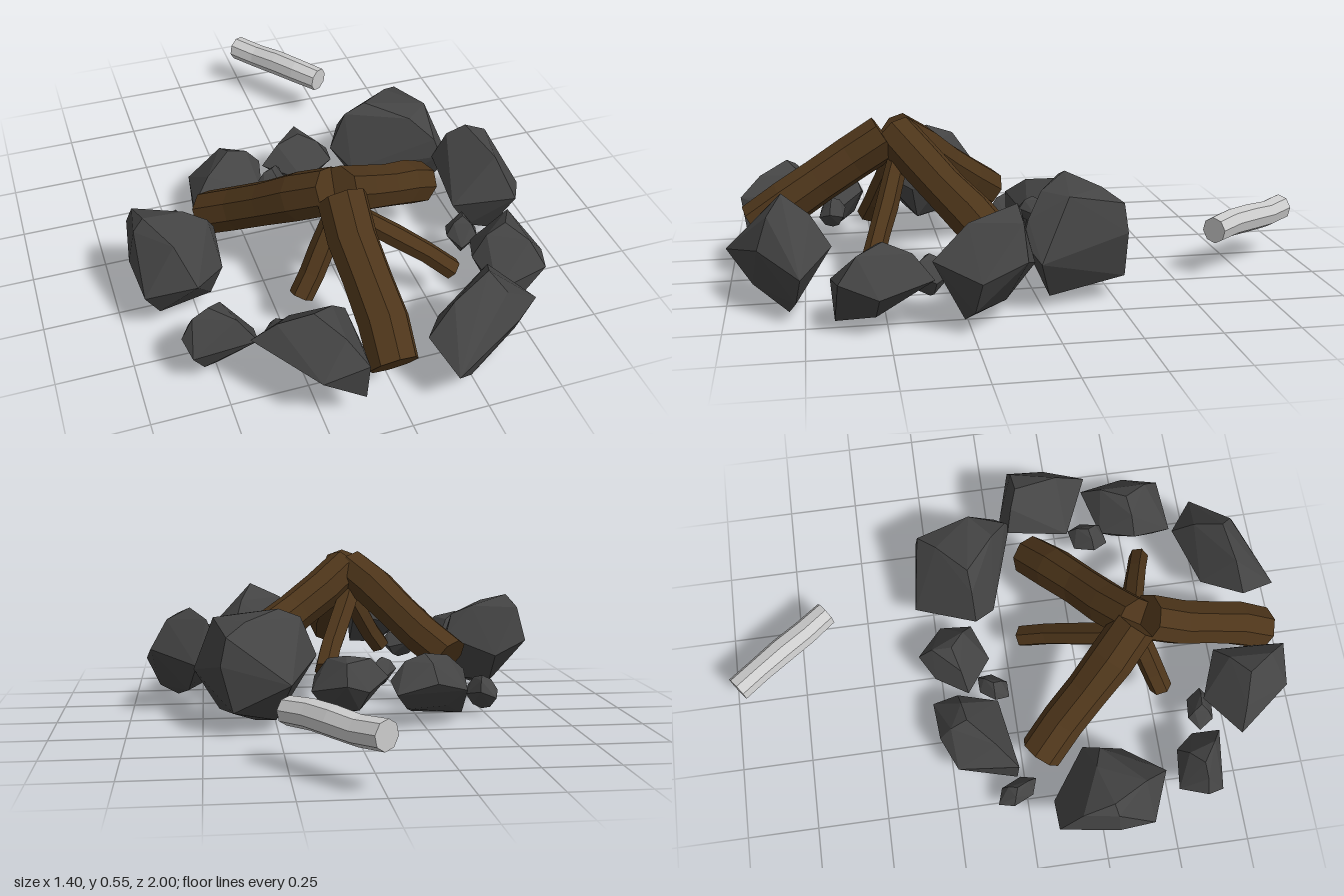
import * as THREE from 'three';
import { ConvexGeometry } from 'three/addons/geometries/ConvexGeometry.js';

const stone = new THREE.MeshStandardMaterial({ color: 0x444444, flatShading: true });
const wood = new THREE.MeshStandardMaterial({ color: 0x4d351a, flatShading: true });
const plain = new THREE.MeshStandardMaterial({ color: 0xcccccc, flatShading: true });

// Faceted rock: a zigzag girdle following the footprint [x, z], closing
// towards a top and a bottom point. Fullness swells the shoulders, and
// corners [x, y, z] add single protruding points.
function rock(name, footprint, top, bottom, fullness = 0.72, corners = []) {
  const up = new THREE.Vector3(...top);
  const down = new THREE.Vector3(...bottom);
  const points = [up, down, ...corners.map((c) => new THREE.Vector3(...c))];
  footprint.forEach(([x, z], i) => {
    const y = THREE.MathUtils.lerp(down.y, up.y, i % 2 ? 0.42 : 0.58);
    const girdle = new THREE.Vector3(x, y, z);
    const pole = i % 2 ? down : up;
    const shoulder = girdle.clone().lerp(pole, 0.42);
    shoulder.y = THREE.MathUtils.lerp(y, pole.y, fullness);
    points.push(girdle, shoulder);
  });
  const mesh = new THREE.Mesh(new ConvexGeometry(points), stone);
  mesh.name = name;
  return mesh;
}

// Small rock on a turned, six-cornered oval footprint
function pebble(name, x, z, length, width, y0, y1, turn) {
  const footprint = Array.from({ length: 6 }, (_, i) => {
    const u = (Math.cos((i * Math.PI) / 3) * length) / 2;
    const v = (Math.sin((i * Math.PI) / 3) * width) / 2;
    return [x + u * Math.cos(turn) - v * Math.sin(turn), z + u * Math.sin(turn) + v * Math.cos(turn)];
  });
  return rock(name, footprint, [x, y1, z], [x, y0, z]);
}

function seeded(seed) {
  let s = seed * 7919 + 17;
  return () => {
    s = (s * 16807) % 2147483647;
    return s / 2147483647;
  };
}

// Faceted log between two points, with slightly crooked rings
function log(name, from, to, radius, sides, bend, material, seed) {
  const a = new THREE.Vector3(...from);
  const b = new THREE.Vector3(...to);
  const length = a.distanceTo(b);
  const rnd = seeded(seed);
  const rings = 4;
  const geometry = new THREE.CylinderGeometry(radius, radius, length, sides, rings);
  const sway = Array.from({ length: rings + 1 }, (_, i) => ({
    x: i % rings ? Math.sin((i / rings) * Math.PI * 2) * bend : 0,
    z: i % rings ? (rnd() - 0.5) * bend : 0,
    s: 0.96 + rnd() * 0.08,
  }));
  const pos = geometry.attributes.position;
  for (let i = 0; i < pos.count; i++) {
    const k = sway[Math.round((pos.getY(i) / length + 0.5) * rings)];
    pos.setX(i, pos.getX(i) * k.s + k.x);
    pos.setZ(i, pos.getZ(i) * k.s + k.z);
  }
  geometry.computeVertexNormals();
  const mesh = new THREE.Mesh(geometry, material);
  mesh.position.copy(a).add(b).multiplyScalar(0.5);
  mesh.quaternion.setFromUnitVectors(new THREE.Vector3(0, 1, 0), b.sub(a).normalize());
  mesh.name = name;
  return mesh;
}

export function createModel() {
  const model = new THREE.Group();
  model.name = 'campfire';

  // Ring of boulders
  const stones = new THREE.Group();
  stones.name = 'stoneRing';
  stones.add(
    rock('backRightBoulder',
      [[0.11, -0.1], [0.21, -0.31], [0.44, -0.28], [0.53, 0.02], [0.47, 0.07], [0.17, -0.03]],
      [0.24, 0.4, -0.11], [0.32, 0.01, -0.08], 0.82,
      [[0.42, 0.33, -0.27], [0.4, 0.08, -0.28], [0.46, 0.37, -0.08], [0.45, 0.3, 0.05]]),
    rock('backStone',
      [[-0.13, -0.16], [-0.05, -0.27], [0.03, -0.32], [0.14, -0.23], [0.12, -0.12], [0, -0.07]],
      [0.02, 0.25, -0.2], [0.02, 0.055, -0.19], 0.82),
    rock('backLeftStone',
      [[-0.42, -0.02], [-0.39, -0.23], [-0.28, -0.28], [-0.14, -0.29], [-0.13, -0.2], [-0.16, -0.06]],
      [-0.25, 0.25, -0.18], [-0.25, 0.04, -0.1], 0.72,
      [[-0.415, 0.005, -0.025], [-0.23, 0.02, -0.05]]),
    rock('leftBoulder',
      [[-0.67, 0.08], [-0.56, 0.08], [-0.4, 0.2], [-0.41, 0.34], [-0.52, 0.47], [-0.68, 0.41], [-0.7, 0.28]],
      [-0.64, 0.39, 0.26], [-0.56, 0.04, 0.3], 0.75,
      [[-0.43, 0.32, 0.25], [-0.45, 0.07, 0.32]]),
    rock('leftStone',
      [[-0.61, 0.61], [-0.57, 0.52], [-0.44, 0.53], [-0.38, 0.6], [-0.39, 0.69], [-0.59, 0.67]],
      [-0.52, 0.28, 0.6], [-0.5, 0.05, 0.61]),
    rock('frontLeftBoulder',
      [[-0.43, 0.75], [-0.28, 0.65], [-0.12, 0.71], [-0.11, 0.85], [-0.13, 0.96], [-0.27, 0.95]],
      [-0.25, 0.36, 0.8], [-0.18, 0.12, 0.86], 0.62,
      [[-0.13, 0.11, 0.94]]),
    rock('frontRightBoulder',
      [[0.09, 0.87], [0.18, 0.74], [0.37, 0.66], [0.51, 0.76], [0.38, 0.89], [0.14, 1]],
      [0.3, 0.38, 0.81], [0.34, 0, 0.8], 0.62),
    rock('rightStone',
      [[0.39, 0.53], [0.44, 0.41], [0.6, 0.36], [0.65, 0.53], [0.6, 0.65], [0.42, 0.67]],
      [0.51, 0.27, 0.51], [0.48, 0.03, 0.55], 0.75,
      [[0.47, 0.01, 0.66]]),
    rock('rightBoulder',
      [[0.44, 0.06], [0.52, 0.04], [0.68, 0.09], [0.7, 0.23], [0.62, 0.37], [0.43, 0.28]],
      [0.54, 0.38, 0.1], [0.59, 0.035, 0.27], 0.72)
  );

  // Pebbles between the boulders
  stones.add(
    pebble('frontLeftPebble', -0.295, 0.645, 0.15, 0.1, 0.09, 0.2, 0.15),
    pebble('rightPebble', 0.43, 0.36, 0.15, 0.12, 0.06, 0.2, -1.2),
    pebble('backPebble', -0.12, -0.07, 0.13, 0.09, 0.12, 0.22, -0.9),
    pebble('backLeftPebble', -0.485, -0.035, 0.16, 0.09, 0.02, 0.14, 1.1)
  );

  // Three logs leaning together
  const logs = new THREE.Group();
  logs.name = 'logPile';
  logs.add(
    log('frontLog', [-0.035, 0.185, 0.91], [-0.045, 0.475, 0.46], 0.081, 8, 0.008, wood, 1),
    log('backLeftLog', [-0.385, 0.19, 0.06], [-0.065, 0.48, 0.42], 0.078, 8, 0.006, wood, 2),
    log('backRightLog', [0.36, 0.19, 0.13], [-0.05, 0.48, 0.42], 0.078, 8, 0.005, wood, 3)
  );

  // Kindling under the logs
  logs.add(
    log('backKindling', [0.065, 0.15, 0.06], [-0.07, 0.42, 0.42], 0.041, 6, 0.004, wood, 4),
    log('rightKindling', [0.32, 0.14, 0.535], [-0.04, 0.42, 0.41], 0.037, 6, 0.005, wood, 5),
    log('leftKindling', [-0.2, 0.16, 0.52], [-0.03, 0.42, 0.42], 0.04, 6, 0.004, wood, 6)
  );

  // Loose stick lying behind the ring
  const stick = log('looseStick', [0, 0.168, -0.97], [0.245, 0.168, -0.635], 0.047, 8, 0.006, plain, 7);

  model.add(stones, logs, stick);
  return model;
}
